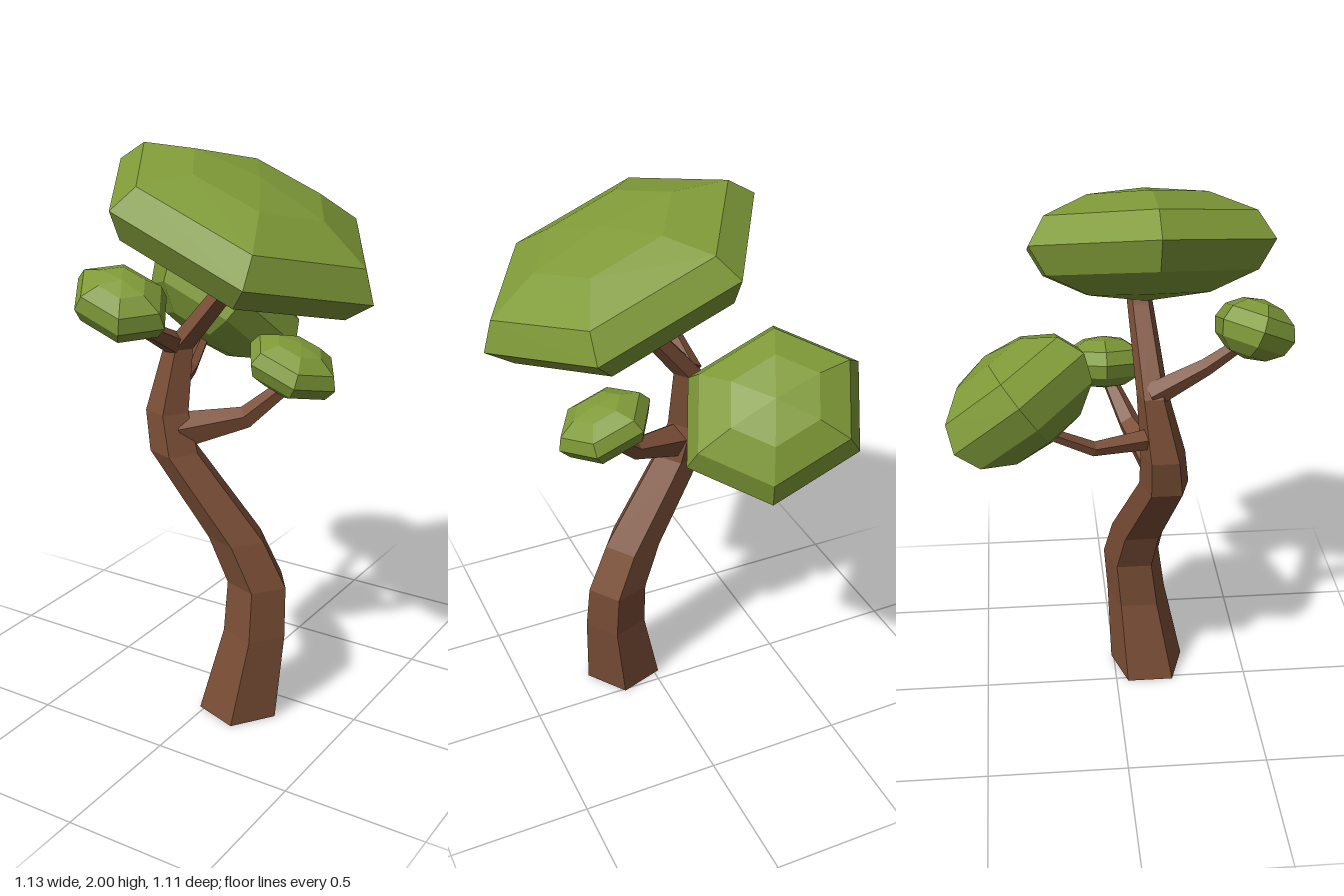
import * as THREE from 'three';

const bark = new THREE.MeshStandardMaterial({ color: 0x7a4e36, flatShading: true });
const leaf = new THREE.MeshStandardMaterial({ color: 0x7f9a38, flatShading: true });
const deg = THREE.MathUtils.degToRad;

// Tapered five-sided limb through stations [x, y, z, radius].
// Level rings suit the trunk; otherwise each ring is square to the path.
function limb(name, stations, level) {
  const sides = 5, pos = [], index = [];
  const pts = stations.map(([x, y, z]) => new THREE.Vector3(x, y, z));
  const last = pts.length - 1;
  pts.forEach((p, i) => {
    const t = level ? new THREE.Vector3(0, 1, 0)
      : pts[Math.min(i + 1, last)].clone().sub(pts[Math.max(i - 1, 0)]).normalize();
    const u = level ? new THREE.Vector3(1, 0, 0) : new THREE.Vector3(0, 1, 0);
    u.addScaledVector(t, -u.dot(t)).normalize();
    const v = u.clone().cross(t);
    for (let j = 0; j < sides; j++) {
      const a = (j / sides) * Math.PI * 2, r = stations[i][3];
      const q = p.clone().addScaledVector(u, r * Math.cos(a)).addScaledVector(v, r * Math.sin(a));
      pos.push(q.x, q.y, q.z);
    }
  });
  for (let i = 0; i < last; i++) {
    for (let j = 0; j < sides; j++) {
      const k = (j + 1) % sides;
      const a = i * sides + j, b = i * sides + k, c = a + sides, d = b + sides;
      index.push(a, c, b, b, c, d);
    }
  }
  // End caps
  for (let j = 1; j < sides - 1; j++) {
    const e = last * sides;
    index.push(0, j, j + 1, e, e + j + 1, e + j);
  }
  const indexed = new THREE.BufferGeometry();
  indexed.setAttribute('position', new THREE.Float32BufferAttribute(pos, 3));
  indexed.setIndex(index);
  const geo = indexed.toNonIndexed();
  geo.computeVertexNormals();
  const mesh = new THREE.Mesh(geo, bark);
  mesh.name = name;
  return mesh;
}

// Flattened six-sided leaf clump, tipped about x and then about z.
function clump(name, centre, radii, tipX, tipZ) {
  const geo = new THREE.SphereGeometry(1, 6, 6).scale(...radii).toNonIndexed();
  geo.computeVertexNormals();
  const mesh = new THREE.Mesh(geo, leaf);
  mesh.name = name;
  mesh.position.set(...centre);
  mesh.rotation.set(deg(tipX), 0, deg(tipZ), 'ZYX');
  return mesh;
}

export function createModel() {
  const tree = new THREE.Group();
  tree.name = 'tree';

  // Winding trunk
  tree.add(limb('trunk', [
    [0.10, 0, 0.13, 0.146],
    [0.143, 0.31, 0.09, 0.116],
    [0.14, 0.49, 0.07, 0.11],
    [0.067, 0.655, 0.09, 0.104],
    [-0.148, 0.96, 0.153, 0.09],
    [-0.182, 1.1, 0.143, 0.08],
    [-0.16, 1.32, 0.105, 0.055],
    [0.04, 1.57, 0.08, 0.045],
    [0.08, 1.64, 0.08, 0.04],
  ], true));

  // Side branches
  tree.add(limb('leftBranch', [
    [-0.13, 1.03, 0.13, 0.066], [0.075, 1.09, 0.05, 0.04], [0.21, 1.22, -0.02, 0.026],
  ]));
  tree.add(limb('frontBranch', [
    [-0.165, 1.32, 0.1, 0.045], [-0.16, 1.415, 0.28, 0.03], [-0.165, 1.51, 0.41, 0.022],
  ]));
  tree.add(limb('backBranch', [
    [-0.18, 1.17, 0.12, 0.04], [-0.25, 1.175, -0.1, 0.026], [-0.29, 1.27, -0.27, 0.02],
  ]));

  // Foliage
  tree.add(clump('crownFoliage', [0.0875, 1.75, 0.1], [0.514, 0.185, 0.45], 0, -21.7));
  tree.add(clump('leftFoliage', [0.208, 1.27, -0.03], [0.176, 0.092, 0.156], 0, -20));
  tree.add(clump('frontFoliage', [-0.16, 1.543, 0.432], [0.178, 0.1, 0.14], 20, -20));
  tree.add(clump('backFoliage', [-0.258, 1.37, -0.337], [0.332, 0.175, 0.293], -36, -22));
  return tree;
}
